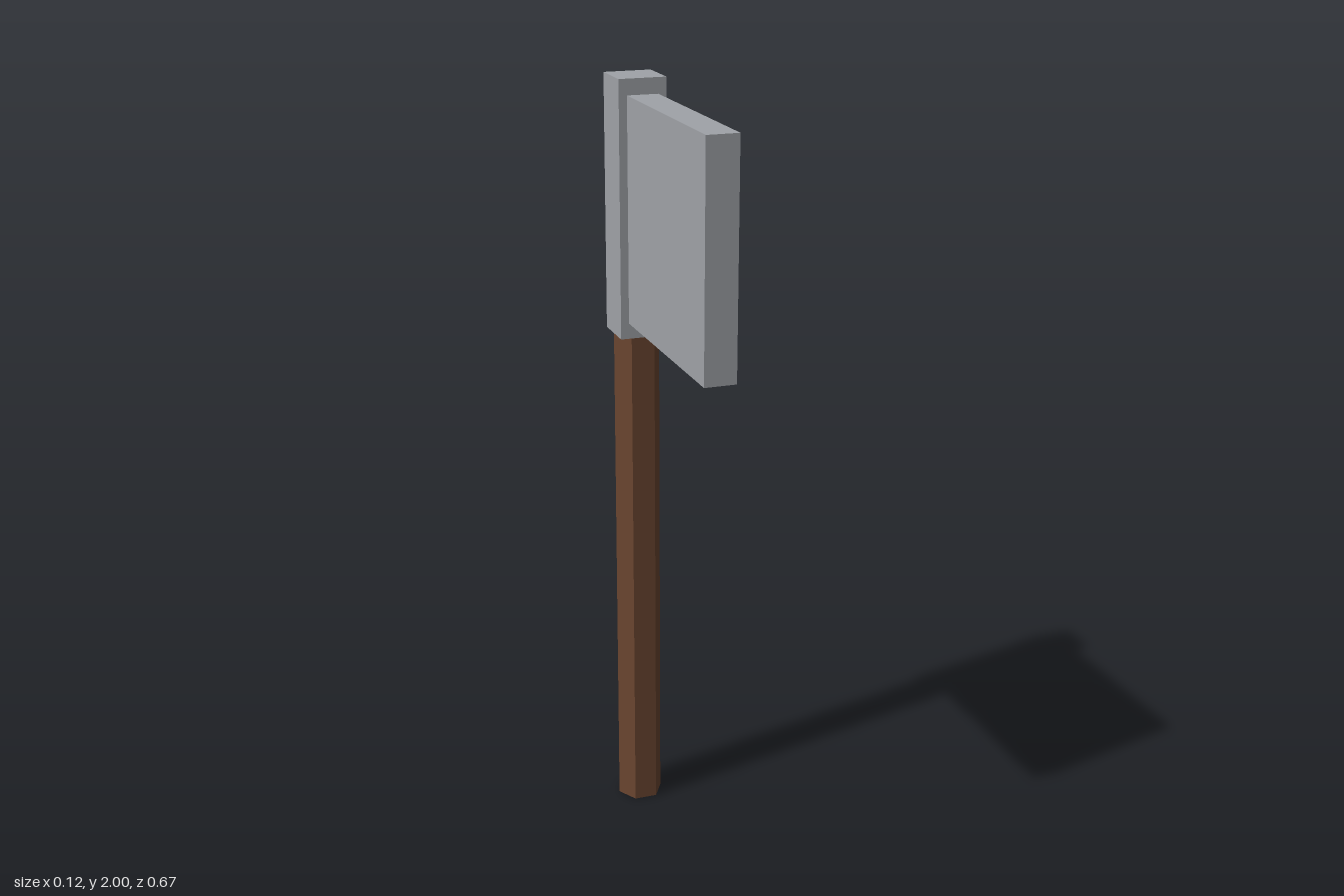
import * as THREE from 'three';

export function createModel() {
  const model = new THREE.Group();
  model.name = 'axe';

  const steel = new THREE.MeshStandardMaterial({ color: 0xa0a3a8 });
  steel.name = 'steel';
  const wood = new THREE.MeshStandardMaterial({ color: 0x6b4630 });
  wood.name = 'wood';

  const add = (name, geometry, material, x, y, z) => {
    const mesh = new THREE.Mesh(geometry, material);
    mesh.name = name;
    mesh.position.set(x, y, z);
    model.add(mesh);
  };

  const shaftZ = -0.276;

  // Hexagonal handle, with corners on the x axis and facets facing front and back
  const shaft = new THREE.CylinderGeometry(0.061, 0.061, 1.36, 6).rotateY(Math.PI / 6).toNonIndexed();
  shaft.computeVertexNormals();
  add('handle', shaft, wood, 0, 0.68, shaftZ);

  // Square socket that caps the handle
  add('socket', new THREE.BoxGeometry(0.122, 0.65, 0.122), steel, 0, 1.675, shaftZ);

  // Blade slab reaching forward from the socket
  add('blade', new THREE.BoxGeometry(0.08, 0.57, 0.552), steel, 0, 1.675, 0.06);

  return model;
}
